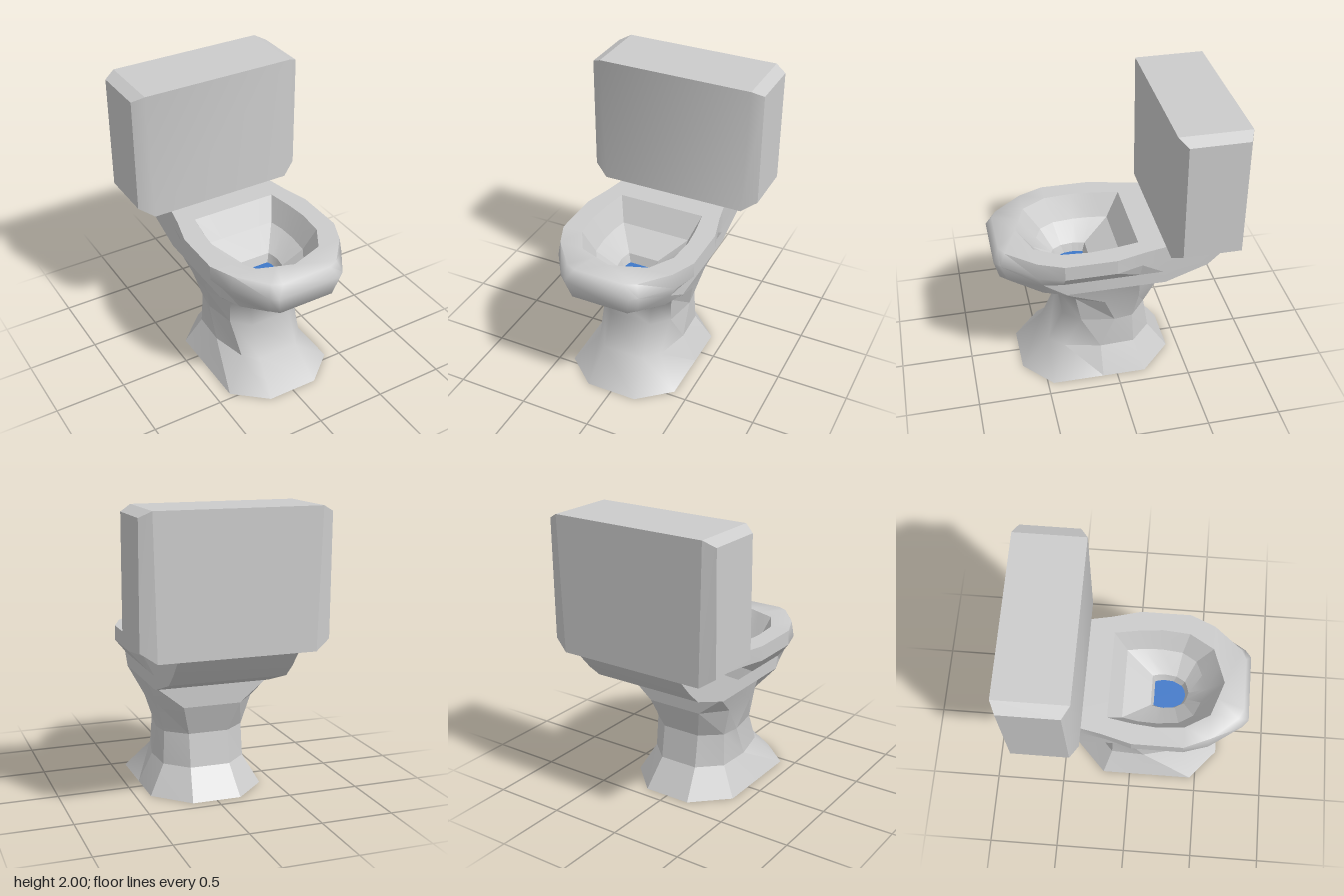
import * as THREE from 'three';
import { mergeGeometries, toCreasedNormals } from 'three/addons/utils/BufferGeometryUtils.js';

// Skin a series of closed rings; optional fans close the first and last ring.
// Faces centred in front of smoothZ are shaded smooth, the others faceted.
function loft(rings, capStart, capEnd, smoothZ) {
  const smooth = [], faceted = [];
  const tri = (a, b, c) =>
    ((a[2] + b[2] + c[2]) / 3 > smoothZ ? smooth : faceted).push(...a, ...b, ...c);
  const n = rings[0].length;
  for (let r = 0; r < rings.length - 1; r++) {
    const a = rings[r], b = rings[r + 1];
    for (let i = 0; i < n; i++) {
      const j = (i + 1) % n;
      tri(a[i], b[i], b[j]);
      tri(a[i], b[j], a[j]);
    }
  }
  const fan = (ring, flip) => {
    const c = [0, 1, 2].map((k) => ring.reduce((s, p) => s + p[k], 0) / n);
    ring.forEach((p, i) => {
      const q = ring[(i + 1) % n];
      if (flip) tri(c, q, p); else tri(c, p, q);
    });
  };
  if (capStart) fan(rings[0], false);
  if (capEnd) fan(rings[rings.length - 1], true);
  const shade = (pos, crease) => {
    const geo = new THREE.BufferGeometry();
    geo.setAttribute('position', new THREE.Float32BufferAttribute(pos, 3));
    return toCreasedNormals(geo, crease);
  };
  return mergeGeometries([shade(smooth, 1.2), shade(faceted, 0.2)]);
}

// Horizontal ring from a front-to-back half outline [x, z, optional y], mirrored in x
function ring(y, half) {
  const side = half.map(([x, z, h = y]) => [x, h, z]);
  return [...side, ...side.map(([x, h, z]) => [-x, h, z]).reverse()];
}

export function createModel() {
  const group = new THREE.Group();
  const grey = new THREE.MeshStandardMaterial({ color: 0xcccccc });
  const blue = new THREE.MeshStandardMaterial({ color: 0x3f78c8 });
  const add = (name, geo, mat = grey) => {
    const mesh = new THREE.Mesh(geo, mat);
    mesh.name = name;
    group.add(mesh);
  };

  // Basin: from the drain up to the opening
  const drain = ring(0.76, [[0, 0.37], [0.04, 0.36], [0.07, 0.34], [0.1, 0.28],
    [0.105, 0.22], [0.1, 0.18], [0.09, 0.15], [0.04, 0.15]]);
  const opening = ring(1.08, [[0, 0.625], [0.12, 0.583], [0.24, 0.54], [0.34, 0.37],
    [0.355, 0.18], [0.34, 0.02], [0.31, -0.155], [0.2, -0.155]]);
  add('basin', loft([
    drain,
    ring(0.82, [[0, 0.39], [0.05, 0.375], [0.08, 0.36], [0.115, 0.3],
      [0.125, 0.22], [0.12, 0.17], [0.11, 0.13], [0.05, 0.13]]),
    ring(0.92, [[0, 0.51], [0.1, 0.475], [0.2, 0.43], [0.26, 0.33],
      [0.275, 0.18], [0.27, 0.05], [0.25, -0.06], [0.15, -0.06]]),
    opening,
  ], false, false, 0.45));

  // Rim and outer bowl, running back into the shelf under the cistern
  add('rim', loft([
    opening,
    ring(1.08, [[0.18, 0.765], [0.25, 0.73], [0.41, 0.54], [0.483, 0.37],
      [0.483, 0.02], [0.43, -0.18], [0.4, -0.33], [0.4, -0.8]]),
    ring(0.975, [[0.23, 0.805, 1], [0.28, 0.765, 1], [0.43, 0.54], [0.483, 0.37],
      [0.483, 0.02], [0.43, -0.16], [0.4, -0.33], [0.4, -0.71]]),
    ring(0.875, [[0.2, 0.77, 0.86], [0.25, 0.72, 0.86], [0.38, 0.5], [0.4, 0.37],
      [0.4, 0.03], [0.4, -0.15], [0.4, -0.31], [0.4, -0.62, 0.89]]),
    ring(0.785, [[0.18, 0.7, 0.81], [0.22, 0.66, 0.805], [0.34, 0.5], [0.4, 0.35],
      [0.4, 0.03], [0.4, -0.15], [0.4, -0.28], [0.4, -0.33]]),
  ], false, true, 0.42));

  // Water surface
  add('water', loft([drain], true, false, 0.25), blue);

  // Waisted pedestal with a flared foot
  const levels = [
    [0.785, [[0.26, 0.5], [0.4, 0.36], [0.4, 0.1], [0.4, -0.15], [0.38, -0.32]]],
    [0.64, [[0.18, 0.37], [0.28, 0.27], [0.355, 0.08], [0.34, -0.16], [0.2, -0.32]]],
    [0.43, [[0.15, 0.345], [0.26, 0.23], [0.3, 0], [0.28, -0.13], [0.14, -0.245]]],
    [0.2, [[0.15, 0.45], [0.24, 0.35], [0.3, 0.1], [0.29, -0.14], [0.14, -0.28]]],
    [0, [[0.18, 0.65], [0.4, 0.46], [0.4, 0.1], [0.4, -0.2], [0.17, -0.42]]],
  ];
  add('pedestal', loft(levels.map(([y, half]) => ring(y, half)), false, true, 0.22));

  // Cistern: upright sections across x with chamfered ends
  const section = (xLow, xTop, y0, y1, front, back) => [
    [xLow, y0, front], [xLow, y0, back], [xTop, y1, back], [xTop, y1, front]];
  const end = (s) => section(s * 0.628, s * 0.628, 1.15, 1.96, -0.375, -0.765);
  const inner = (s) => section(s * 0.525, s * 0.55, 1.08, 2, -0.325, -0.8);
  add('cistern', loft([end(1), inner(1), inner(-1), end(-1)], true, true, -0.4));

  return group;
}
